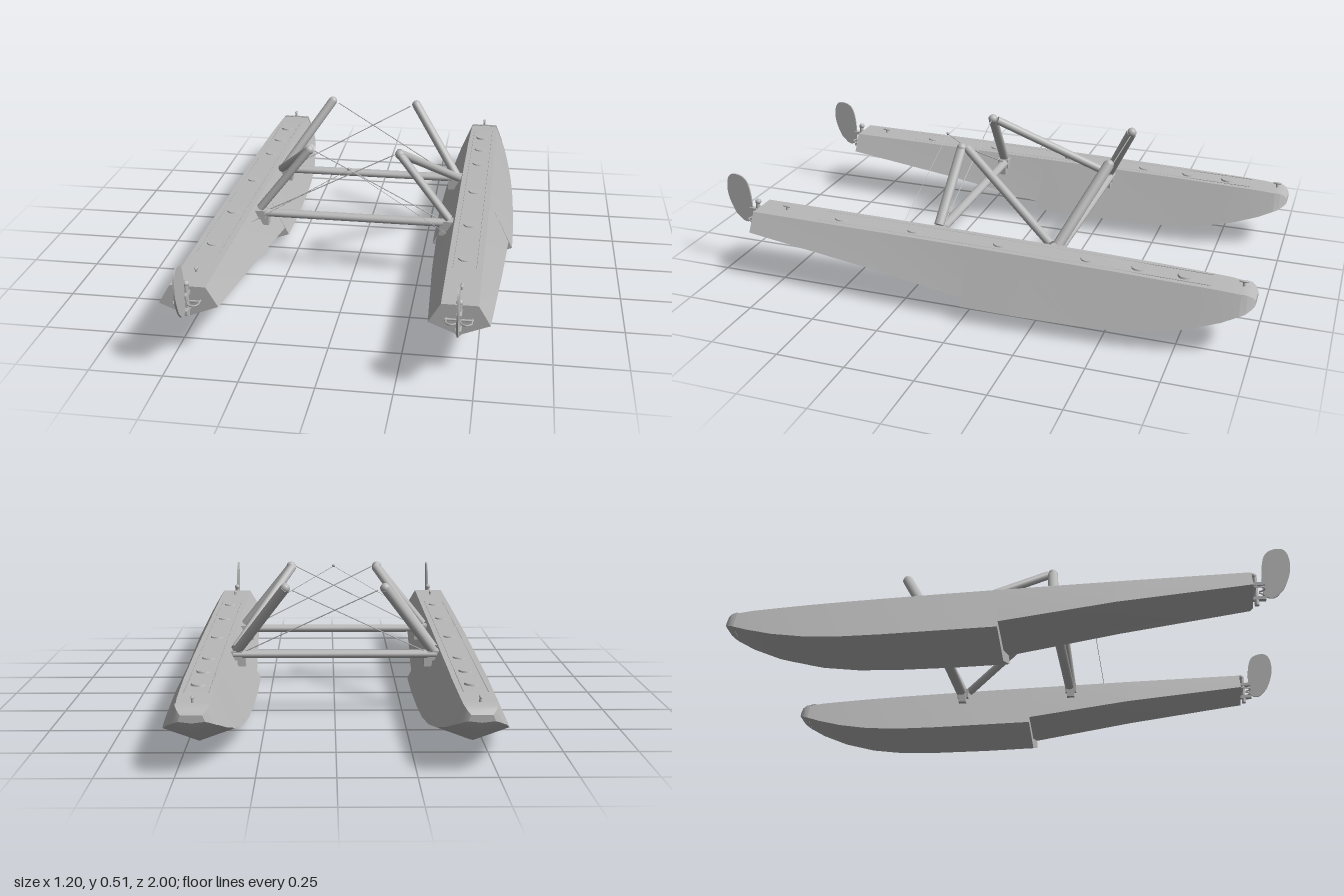
import * as THREE from 'three';
import { toCreasedNormals } from 'three/addons/utils/BufferGeometryUtils.js';

const grey = new THREE.MeshStandardMaterial({ color: 0xb8b8b8 });
grey.name = 'painted grey metal';
const CX = 0.4425; // centre line of each float

function add(parent, name, geometry, x = 0, y = 0, z = 0) {
  const mesh = new THREE.Mesh(geometry, grey);
  mesh.name = name;
  mesh.position.set(x, y, z);
  parent.add(mesh);
  return mesh;
}

// Rod between two points; rx and rz are the radii of its oval section
function rod(parent, name, a, b, rx, rz = rx, sides = 16) {
  const from = new THREE.Vector3(...a), to = new THREE.Vector3(...b);
  const dir = to.clone().sub(from);
  const g = new THREE.CylinderGeometry(1, 1, dir.length(), sides);
  g.scale(rx, 1, rz);
  const mesh = add(parent, name, g);
  mesh.position.copy(from).add(to).multiplyScalar(0.5);
  mesh.quaternion.setFromUnitVectors(new THREE.Vector3(0, 1, 0), dir.normalize());
  return mesh;
}

// Hull loft. Stations run from +z to -z: [z, deckY, deckHalf, chineY, chineHalf, keelY]
function hull(stations) {
  const pos = [], idx = [], n = 5;
  for (const [z, dy, dw, cy, cw, ky] of stations) {
    pos.push(0, ky, z, cw, cy, z, dw, dy, z, -dw, dy, z, -cw, cy, z);
  }
  const last = (stations.length - 1) * n;
  for (let i = 0; i < last; i += n) {
    for (let j = 0; j < n; j++) {
      const a = i + j, b = i + (j + 1) % n;
      idx.push(a, a + n, b, b, a + n, b + n);
    }
  }
  for (let j = 1; j < n - 1; j++) {
    idx.push(0, j, j + 1, last, last + j + 1, last + j);
  }
  const g = new THREE.BufferGeometry();
  g.setAttribute('position', new THREE.Float32BufferAttribute(pos, 3));
  g.setIndex(idx);
  return toCreasedNormals(g, 0.4);
}

// Afterbody rises from the step to the transom
const AFT = [
  [0.86, 0.258, 0.06, 0.19, 0.1, 0.15],
  [0.4, 0.254, 0.061, 0.142, 0.125, 0.1],
  [0, 0.249, 0.061, 0.087, 0.14, 0.045],
];
// Forebody sweeps up to the bow
const FORE = [
  [0, 0.249, 0.061, 0.06, 0.155, 0.003],
  [-0.2, 0.246, 0.061, 0.058, 0.155, 0],
  [-0.4, 0.242, 0.061, 0.058, 0.15, 0.001],
  [-0.55, 0.239, 0.06, 0.062, 0.144, 0.006],
  [-0.68, 0.235, 0.06, 0.075, 0.134, 0.024],
  [-0.8, 0.231, 0.058, 0.1, 0.118, 0.057],
  [-0.9, 0.227, 0.056, 0.132, 0.099, 0.1],
  [-0.955, 0.222, 0.053, 0.155, 0.083, 0.133],
];
// Rounded bumper on the bow
const BOW = [
  [-0.955, 0.225, 0.055, 0.155, 0.084, 0.132],
  [-0.975, 0.222, 0.052, 0.163, 0.074, 0.147],
  [-0.99, 0.213, 0.045, 0.173, 0.058, 0.161],
  [-1, 0.2, 0.034, 0.18, 0.042, 0.175],
];

const deckY = (z) => 0.249 + (z > 0 ? z * 0.0105 : z * 0.019);

function cleat(parent, z) {
  const y = deckY(z);
  add(parent, 'cleatPost', new THREE.CylinderGeometry(0.004, 0.005, 0.016, 10), 0, y + 0.006, z);
  const bar = new THREE.SphereGeometry(1, 12, 8);
  bar.scale(0.006, 0.004, 0.018);
  add(parent, 'cleatBar', bar, 0, y + 0.015, z);
}

function rudder() {
  const g = new THREE.Group();
  g.name = 'rudder';
  const s = new THREE.Shape();
  s.moveTo(0.9, 0.2);
  s.quadraticCurveTo(0.92, 0.175, 0.945, 0.19);
  s.lineTo(0.97, 0.215);
  s.quadraticCurveTo(1, 0.27, 1, 0.31);
  s.quadraticCurveTo(1.0, 0.375, 0.965, 0.375);
  s.quadraticCurveTo(0.925, 0.375, 0.912, 0.345);
  s.quadraticCurveTo(0.895, 0.3, 0.9, 0.2);
  const blade = new THREE.ExtrudeGeometry(s, { depth: 0.006, bevelEnabled: false, curveSegments: 10 });
  blade.translate(0, 0, -0.003);
  blade.rotateY(-Math.PI / 2);
  add(g, 'rudderBlade', blade);
  rod(g, 'rudderPost', [0, 0.16, 0.875], [0, 0.27, 0.875], 0.008);
  add(g, 'postCap', new THREE.SphereGeometry(0.011, 12, 8), 0, 0.274, 0.872);
  for (const y of [0.185, 0.24]) {
    add(g, 'hinge', new THREE.BoxGeometry(0.018, 0.012, 0.055), 0, y, 0.88);
  }
  rod(g, 'steeringBar', [-0.046, 0.21, 0.87], [0.046, 0.21, 0.87], 0.004, 0.004, 8);
  for (const side of [-1, 1]) {
    const horn = new THREE.TorusGeometry(0.018, 0.003, 6, 14, Math.PI);
    horn.rotateX(Math.PI / 2);
    add(g, 'steeringHorn', horn, side * 0.024, 0.21, 0.885);
    rod(g, 'hornArm', [side * 0.042, 0.21, 0.855], [side * 0.042, 0.21, 0.885], 0.003, 0.003, 6);
  }
  return g;
}

function floatBody() {
  const g = new THREE.Group();
  add(g, 'afterHull', hull(AFT));
  add(g, 'foreHull', hull(FORE));
  add(g, 'bowBumper', hull(BOW));
  // Thin walkway strips along the deck edges
  for (const side of [-1, 1]) {
    rod(g, 'walkwayEdge', [side * 0.04, deckY(0.6), 0.6], [side * 0.04, deckY(0), 0], 0.0015, 0.0015, 6);
    rod(g, 'walkwayEdge', [side * 0.04, deckY(0), 0], [side * 0.04, deckY(-0.85), -0.85], 0.0015, 0.0015, 6);
  }
  // Round hatch covers
  for (const z of [0.52, 0.23, -0.1, -0.42, -0.6, -0.76]) {
    add(g, 'hatchCover', new THREE.CylinderGeometry(0.026, 0.028, 0.006, 24), 0, deckY(z) + 0.002, z);
  }
  cleat(g, 0.75);
  cleat(g, -0.955);
  g.add(rudder());
  return g;
}

export function createModel() {
  const model = new THREE.Group();
  model.name = 'seaplaneFloats';

  for (const side of [-1, 1]) {
    const body = floatBody();
    body.name = side > 0 ? 'leftFloat' : 'rightFloat';
    body.position.x = side * CX;
    model.add(body);

    // Struts rise inward from the inner deck edges
    const foreFoot = [side * 0.358, 0.235, -0.285], foreTop = [side * 0.175, 0.49, -0.415];
    const aftFoot = [side * 0.358, 0.245, 0.17], aftTop = [side * 0.17, 0.482, 0.15];
    rod(model, 'foreStrut', foreFoot, foreTop, 0.018, 0.02);
    rod(model, 'aftStrut', aftFoot, aftTop, 0.015, 0.019);
    rod(model, 'diagonalStrut', [side * 0.365, 0.238, -0.26], [side * 0.165, 0.48, 0.13], 0.016, 0.016);
    for (const p of [foreTop, aftTop]) {
      add(model, 'strutFitting', new THREE.SphereGeometry(0.018, 14, 10), ...p);
    }
    for (const z of [-0.285, 0.168]) {
      add(model, 'footBracket', new THREE.BoxGeometry(0.045, 0.035, 0.045), side * 0.36, 0.222, z);
      add(model, 'sideFitting', new THREE.BoxGeometry(0.03, 0.04, 0.03), side * 0.34, 0.2, z);
    }

    // Crossed bracing wires, one pair at each spreader
    rod(model, 'foreBracingWire', [side * 0.15, 0.482, -0.415], [side * -0.355, 0.222, -0.29], 0.002, 0.002, 6);
    rod(model, 'aftBracingWire', [side * 0.15, 0.48, 0.15], [side * -0.355, 0.222, 0.165], 0.002, 0.002, 6);
    // Rudder control cable
    rod(model, 'controlCable', [side * 0.36, 0.245, 0.305], [0, 0.462, 0.275], 0.001, 0.001, 6);
  }

  // Spreader bars between the floats
  rod(model, 'foreSpreader', [-0.37, 0.225, -0.29], [0.37, 0.225, -0.29], 0.015, 0.021);
  rod(model, 'aftSpreader', [-0.37, 0.225, 0.165], [0.37, 0.225, 0.165], 0.015, 0.019);
  add(model, 'cablePulley', new THREE.SphereGeometry(0.006, 10, 8), 0, 0.464, 0.275);

  return model;
}
